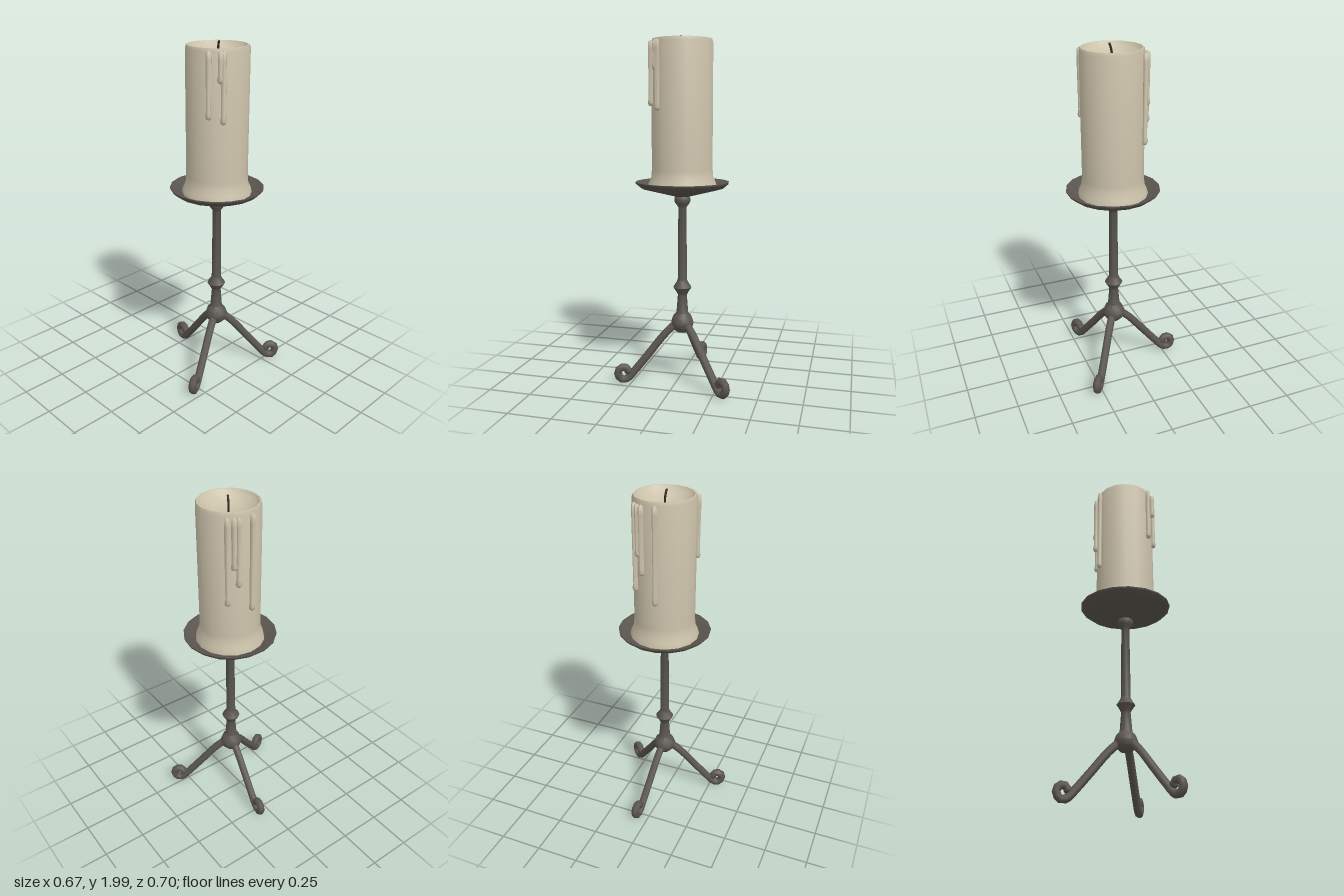
import * as THREE from 'three';
import { toCreasedNormals } from 'three/addons/utils/BufferGeometryUtils.js';

const material = (name, color) => {
  const m = new THREE.MeshStandardMaterial({ color });
  m.name = name;
  return m;
};

export function createModel() {
  const iron = material('dark iron', 0x5a554e);
  const wax = material('cream wax', 0xcbc1aa);
  const char = material('charred wick', 0x2a2622);

  const model = new THREE.Group();
  model.name = 'candlestick';
  // The stand's axis sits slightly off the middle of the footprint
  const stand = new THREE.Group();
  stand.name = 'stand';
  stand.position.set(0.067, 0, -0.025);
  model.add(stand);

  const add = (name, geometry, mat, parent = stand) => {
    const mesh = new THREE.Mesh(geometry, mat);
    mesh.name = name;
    parent.add(mesh);
    return mesh;
  };
  const turned = (profile, sides, crease = 0.7) => toCreasedNormals(
    new THREE.LatheGeometry(profile.map(([r, y]) => new THREE.Vector2(r, y)), sides), crease);

  // Turned stem with hub, knot and collar
  add('stem', turned([
    [0, 0.3], [0.035, 0.303], [0.06, 0.33], [0.068, 0.36], [0.055, 0.395], [0.036, 0.415],
    [0.027, 0.525], [0.034, 0.54], [0.054, 0.57], [0.034, 0.6], [0.028, 0.615],
    [0.024, 1.04], [0.046, 1.07], [0.048, 1.09], [0.034, 1.115],
  ], 10), iron);

  // Shallow drip plate
  add('dripPlate', turned([
    [0, 1.1], [0.045, 1.103], [0.235, 1.152], [0.266, 1.178], [0.268, 1.187],
    [0.258, 1.187], [0.21, 1.155], [0, 1.15],
  ], 18), iron);

  // Three legs ending in scrolls
  const path = new THREE.CatmullRomCurve3([
    [0.035, 0.355], [0.1, 0.295], [0.2, 0.175], [0.28, 0.08], [0.32, 0.036], [0.35, 0.025],
    [0.376, 0.045], [0.38, 0.078], [0.358, 0.1], [0.33, 0.095], [0.322, 0.078],
  ].map(([x, y]) => new THREE.Vector3(x, y, 0)));
  const legTube = new THREE.TubeGeometry(path, 26, 0.0235, 8);
  const legTip = new THREE.SphereGeometry(0.0235, 8, 6);
  for (let i = 0; i < 3; i++) {
    const leg = new THREE.Group();
    leg.name = 'leg' + (i + 1);
    leg.rotation.y = -THREE.MathUtils.degToRad(66.6 + 120 * i);
    stand.add(leg);
    add('legRod', legTube, iron, leg);
    add('scrollTip', legTip, iron, leg).position.set(0.322, 0.078, 0);
  }

  // Candle with flared foot and hollowed top
  add('candle', turned([
    [0.2, 1.15], [0.192, 1.185], [0.178, 1.215], [0.174, 1.26], [0.174, 1.96], [0.168, 1.978],
    [0.16, 1.978], [0.145, 1.955], [0.09, 1.925], [0, 1.91],
  ], 16, 1.0), wax);

  // Wax runs: x and z from the axis, lower end, upper end
  const drips = [
    [0.088, 0.157, 1.61, 1.97], [0.136, 0.118, 1.8, 1.97], [0.146, 0.104, 1.585, 1.97],
    [-0.142, -0.113, 1.46, 1.96], [-0.164, -0.086, 1.67, 1.96],
    [-0.172, -0.062, 1.57, 1.96], [-0.18, 0.018, 1.41, 1.965],
  ];
  drips.forEach(([x, z, low, high], i) => {
    const run = turned([
      [0, low], [0.013, low + 0.006], [0.018, low + 0.02], [0.013, low + 0.045],
      [0.015, high - 0.05], [0.014, high - 0.01], [0, high],
    ], 7, 1.2);
    add('waxDrip' + (i + 1), run, wax).position.set(x, 0, z);
  });

  // Bent wick
  const wickPath = new THREE.CatmullRomCurve3([
    new THREE.Vector3(0, 1.9, 0), new THREE.Vector3(0.002, 1.95, 0),
    new THREE.Vector3(0.006, 1.975, 0.002), new THREE.Vector3(0.013, 1.996, 0.005),
  ]);
  add('wick', new THREE.TubeGeometry(wickPath, 6, 0.006, 6), char);
  add('wickTip', new THREE.SphereGeometry(0.006, 6, 4), char).position.set(0.013, 1.994, 0.005);

  return model;
}
